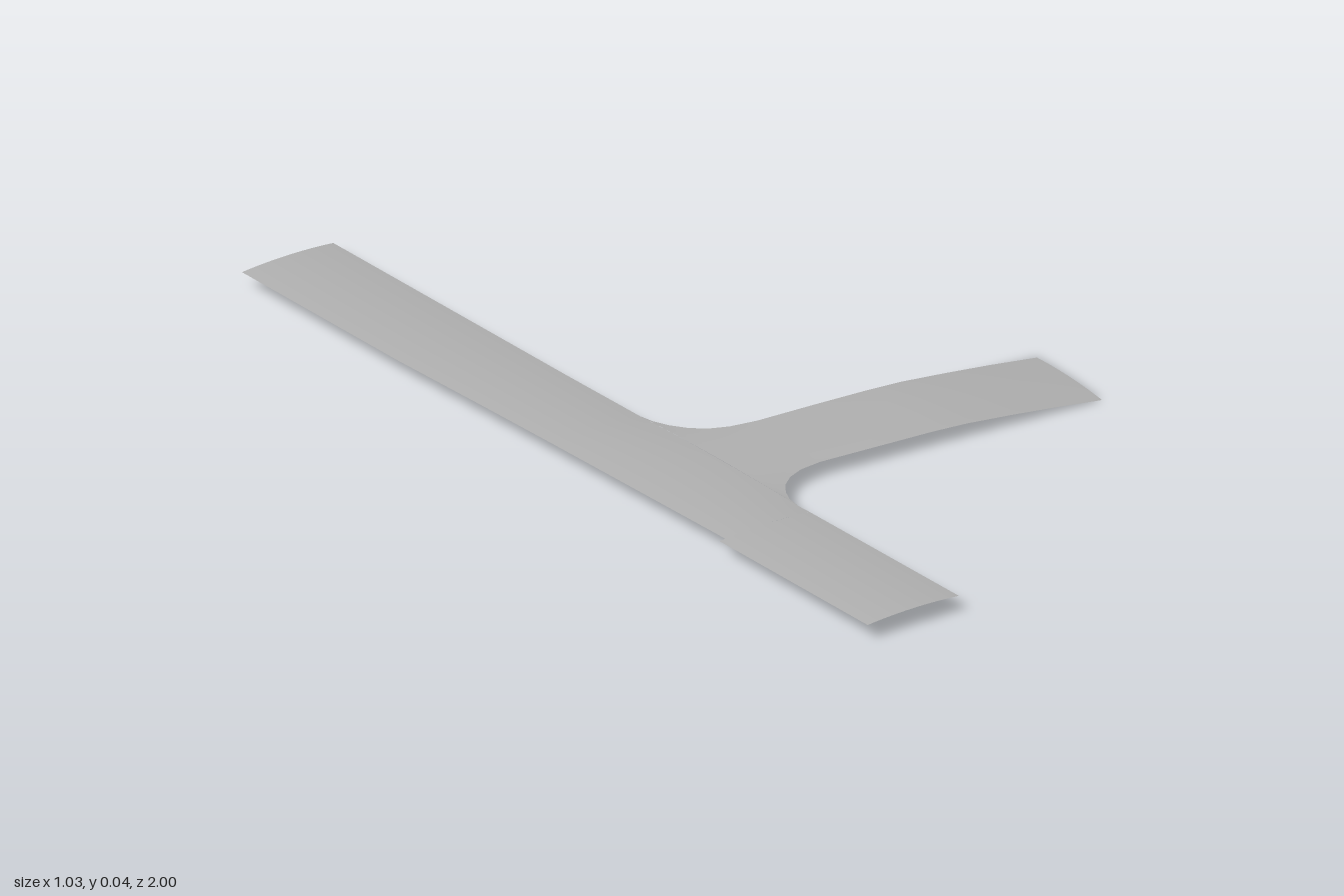
import * as THREE from 'three';

const COLS = 12;
const EDGE_Y = 0.031;          // height of the road edges
const MOUTH = [-0.02, 0.49];   // z range where the side road joins
const lerp = THREE.MathUtils.lerp;

// Open sheet from a row-by-column grid of points
function sheet(name, rows, point, material) {
  const pos = [], idx = [];
  rows.forEach((row) => {
    for (let j = 0; j <= COLS; j++) pos.push(...point(row, j / COLS));
  });
  for (let i = 0; i < rows.length - 1; i++) {
    for (let j = 0; j < COLS; j++) {
      const a = i * (COLS + 1) + j, b = a + COLS + 1;
      idx.push(a, b, a + 1, b, b + 1, a + 1);
    }
  }
  const g = new THREE.BufferGeometry();
  g.setAttribute('position', new THREE.Float32BufferAttribute(pos, 3));
  g.setIndex(idx);
  g.computeVertexNormals();
  const mesh = new THREE.Mesh(g, material);
  mesh.name = name;
  return mesh;
}

// Rounded crown across a road, 0 at the edges and 1 in the middle
const crown = (t) => 1 - (2 * t - 1) ** 2;

// Main road: rows are [z, left x, right x]; it lifts to meet the side road
function mainPoint([z, x0, x1], t) {
  const s = (z - MOUTH[0]) / (MOUTH[1] - MOUTH[0]);
  const lift = s > 0 && s < 1 ? 0.004 * crown(s) * t * t : 0;
  return [lerp(x0, x1, t), EDGE_Y + 0.005 * crown(t) + lift, z];
}

// Side road: rows are [front x, front z, back x, back z, edge y]
function sidePoint([fx, fz, bx, bz, y], t) {
  return [lerp(fx, bx, t), y + 0.0045 * crown(t), lerp(fz, bz, t)];
}

export function createModel() {
  const group = new THREE.Group();
  group.name = 'roadJunction';
  const asphalt = new THREE.MeshStandardMaterial({ color: 0xb0b0b0, side: THREE.DoubleSide });
  asphalt.name = 'grey asphalt';

  // Long stretch with its slightly tapering outer edge and the junction
  const main = [[-1, -0.52, -0.3], [-0.75, -0.52, -0.3], [-0.5, -0.52, -0.3], [-0.25, -0.513, -0.3]];
  for (let k = 0; k <= COLS; k++) {
    const z = lerp(MOUTH[0], MOUTH[1], k / COLS);
    main.push([z, lerp(-0.508, -0.5, k / COLS), -0.298]);
  }
  main.push([0.525, -0.5, -0.297]);
  group.add(sheet('mainRoad', main, mainPoint, asphalt));

  // Front stretch, a little wider so it leaves a small step
  const front = [[0.525, -0.515, -0.297], [0.76, -0.515, -0.296], [1, -0.515, -0.295]];
  group.add(sheet('frontRoad', front, mainPoint, asphalt));

  // Side road with a flared mouth, bending down at its far end
  const side = [
    [-0.298, 0.49, -0.298, -0.02, 0.031],
    [-0.293, 0.455, -0.292, 0.015, 0.031],
    [-0.28, 0.425, -0.278, 0.048, 0.031],
    [-0.26, 0.397, -0.256, 0.08, 0.031],
    [-0.232, 0.375, -0.227, 0.105, 0.031],
    [-0.195, 0.36, -0.188, 0.122, 0.031],
    [-0.145, 0.355, -0.13, 0.133, 0.031],
    [-0.01, 0.366, 0, 0.141, 0.031],
    [0.11, 0.375, 0.12, 0.149, 0.0305],
    [0.19, 0.381, 0.202, 0.154, 0.028],
    [0.29, 0.389, 0.303, 0.161, 0.0205],
    [0.39, 0.397, 0.404, 0.168, 0.0115],
    [0.497, 0.405, 0.512, 0.176, 0],
  ];
  group.add(sheet('sideRoad', side, sidePoint, asphalt));

  return group;
}
